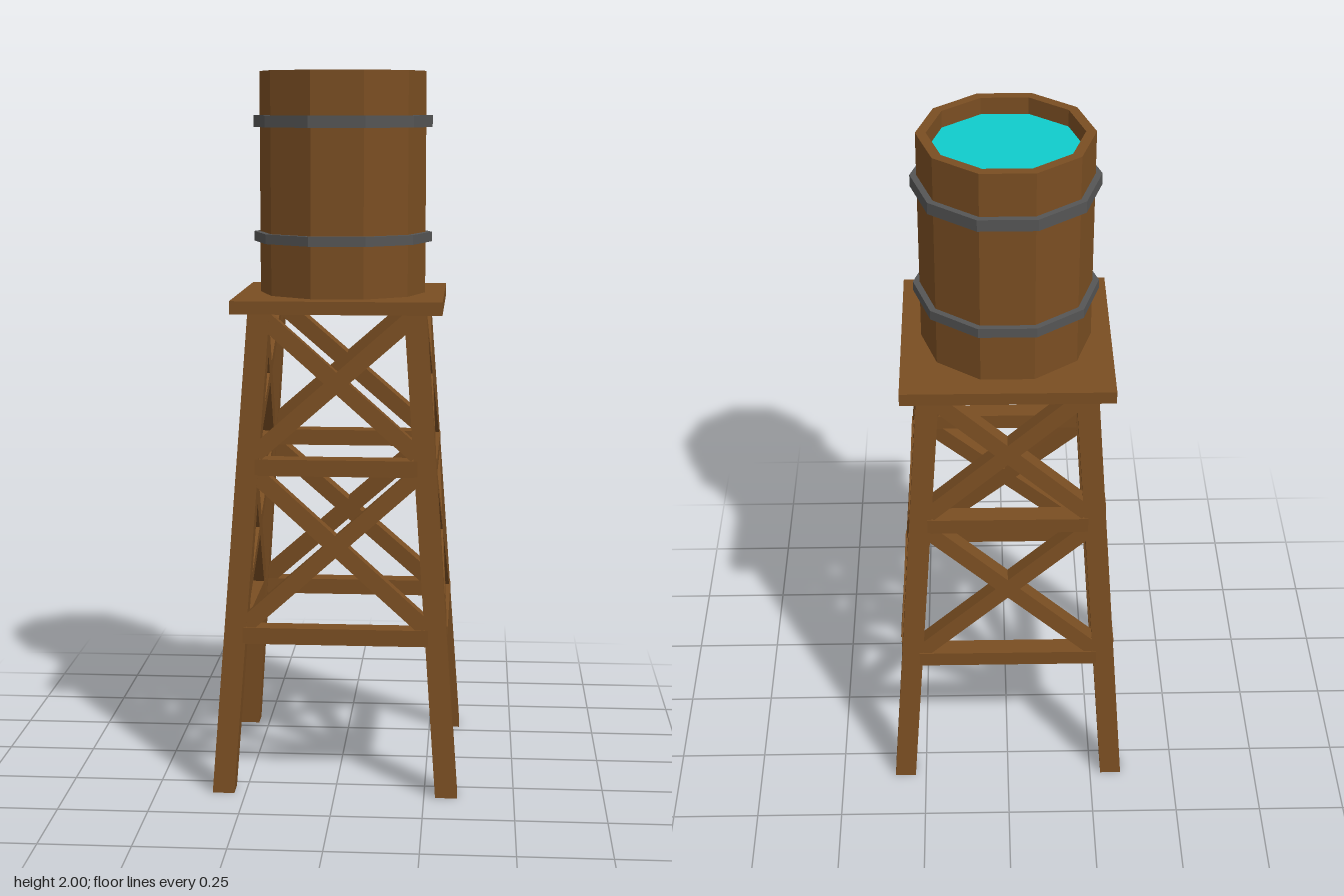
import * as THREE from 'three';

const mat = (color) => new THREE.MeshStandardMaterial({ color, flatShading: true });
const DECK_Y = 1.345, FOOT = 0.312, TOP = 0.215, LEG = 0.061;
// distance of the leg centre line from the axis at height y
const legAt = (y) => THREE.MathUtils.lerp(FOOT, TOP, y / DECK_Y);

export function createModel() {
  const wood = mat(0x7a4e22), iron = mat(0x555555), water = mat(0x10cccc);
  const model = new THREE.Group();
  model.name = 'waterTower';

  const add = (parent, name, geometry, material) => {
    const mesh = new THREE.Mesh(geometry, material);
    mesh.name = name;
    parent.add(mesh);
    return mesh;
  };

  // ten-sided ring or shell turned from a closed profile
  const turned = (points) => new THREE.LatheGeometry(
    points.map(([r, y]) => new THREE.Vector2(r, y)), 10, Math.PI / 2);

  // square timber between two points, with its depth along the face normal
  const timber = (parent, name, a, b, height, depth, normal) => {
    const along = b.clone().sub(a);
    const mesh = add(parent, name, new THREE.BoxGeometry(along.length(), height, depth), wood);
    const x = along.normalize();
    const y = new THREE.Vector3().crossVectors(normal, x).normalize();
    const z = new THREE.Vector3().crossVectors(x, y);
    mesh.quaternion.setFromRotationMatrix(new THREE.Matrix4().makeBasis(x, y, z));
    mesh.position.copy(a).add(b).multiplyScalar(0.5);
  };

  // splayed legs: sheared boxes with level feet
  for (const sx of [-1, 1]) {
    for (const sz of [-1, 1]) {
      const geo = new THREE.BoxGeometry(LEG, DECK_Y, LEG).translate(0, DECK_Y / 2, 0);
      const p = geo.attributes.position;
      for (let i = 0; i < p.count; i++) {
        const d = legAt(p.getY(i));
        p.setXYZ(i, p.getX(i) + sx * d, p.getY(i), p.getZ(i) + sz * d);
      }
      add(model, 'leg', geo, wood);
    }
  }

  // four identical braced sides
  const lean = new THREE.Vector3(0, (FOOT - TOP) / DECK_Y, 1).normalize();
  const flat = new THREE.Vector3(0, 0, 1);
  const at = (x, y) => new THREE.Vector3(x, y, legAt(y) + 0.004);
  for (let i = 0; i < 4; i++) {
    const side = new THREE.Group();
    side.name = 'bracedSide';
    side.rotation.y = i * Math.PI / 2;
    model.add(side);
    for (const [y, half] of [[0.448, 0.258], [0.918, 0.225]]) {
      timber(side, 'crossBeam', at(-half, y), at(half, y), 0.046, 0.056, flat);
    }
    for (const [y0, x0, y1, x1] of [[0.475, 0.25, 0.895, 0.222], [0.955, 0.222, 1.325, 0.2]]) {
      for (const s of [-1, 1]) {
        timber(side, 'diagonalBrace', at(-s * x0, y0), at(s * x1, y1), 0.046, 0.052, lean);
      }
    }
  }

  // deck
  add(model, 'platform', new THREE.BoxGeometry(0.58, 0.036, 0.58), wood).position.y = 1.362;

  // barrel: hollow shell, floor, water and hoops
  const barrel = new THREE.Group();
  barrel.name = 'barrel';
  model.add(barrel);
  add(barrel, 'barrelShell', turned([
    [0, 1.379], [0.235, 1.379], [0.235, 2], [0.207, 2], [0.207, 1.4], [0, 1.4],
  ]), wood);
  add(barrel, 'water', new THREE.CircleGeometry(0.207, 10).rotateX(-Math.PI / 2), water)
    .position.y = 1.952;
  for (const [low, high] of [[1.845, 1.878], [1.525, 1.552]]) {
    add(barrel, 'hoop', turned([
      [0.233, low], [0.253, low], [0.253, high], [0.233, high], [0.233, low],
    ]), iron);
  }
  return model;
}
